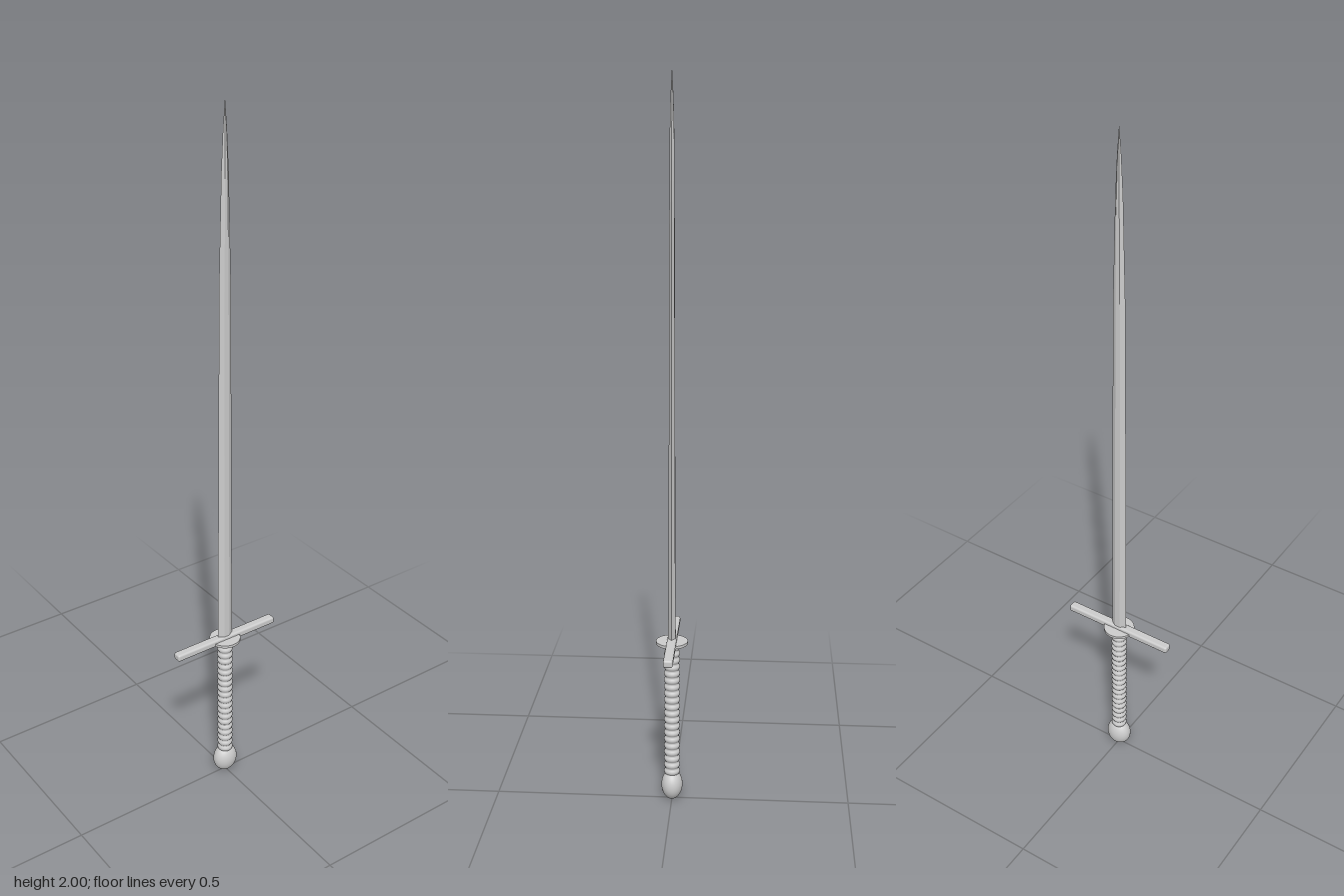
import * as THREE from 'three';
import { RoundedBoxGeometry } from 'three/addons/geometries/RoundedBoxGeometry.js';

const grey = new THREE.MeshStandardMaterial({ color: 0xcccccc });
const flatGrey = new THREE.MeshStandardMaterial({ color: 0xcccccc, flatShading: true });

function addPart(group, name, geometry, y = 0, material = grey) {
  const mesh = new THREE.Mesh(geometry, material);
  mesh.name = name;
  mesh.position.y = y;
  group.add(mesh);
  return mesh;
}

// Blade: six-sided cross-sections [height, half width, half thickness] lofted up to a point
function bladeGeometry() {
  const sections = [
    [0.47, 0.024, 0.010], [0.75, 0.023, 0.009], [1.08, 0.021, 0.008],
    [1.55, 0.018, 0.007], [1.83, 0.011, 0.006], [1.93, 0.006, 0.004], [2.0, 0.0005, 0.0005],
  ];
  const outline = [[1, 0], [0.35, 1], [-0.35, 1], [-1, 0], [-0.35, -1], [0.35, -1]];
  const n = outline.length;
  const positions = [];
  const index = [];
  for (const [y, w, t] of sections) {
    for (const [x, z] of outline) positions.push(x * w, y, z * t);
  }
  for (let s = 0; s < sections.length - 1; s++) {
    for (let i = 0; i < n; i++) {
      const a = s * n + i;
      const b = s * n + (i + 1) % n;
      index.push(a, a + n, b, b, a + n, b + n);
    }
  }
  // End caps
  const top = (sections.length - 1) * n;
  for (let i = 1; i < n - 1; i++) {
    index.push(0, i, i + 1);
    index.push(top, top + i + 1, top + i);
  }
  const geometry = new THREE.BufferGeometry();
  geometry.setAttribute('position', new THREE.Float32BufferAttribute(positions, 3));
  geometry.setIndex(index);
  geometry.computeVertexNormals();
  return geometry;
}

// Grip: a turned profile with a bulge for every turn of the wrap
function gripGeometry(bottom, top, turns) {
  const steps = 6;
  const profile = [new THREE.Vector2(0, bottom)];
  for (let i = 0; i <= turns * steps; i++) {
    const bulge = Math.abs(Math.sin((i / steps) * Math.PI));
    const y = bottom + ((top - bottom) * i) / (turns * steps);
    profile.push(new THREE.Vector2(0.0175 + 0.005 * bulge, y));
  }
  profile.push(new THREE.Vector2(0, top));
  return new THREE.LatheGeometry(profile, 24);
}

export function createModel() {
  const sword = new THREE.Group();
  sword.name = 'sword';

  addPart(sword, 'blade', bladeGeometry(), 0, flatGrey);

  // Straight crossguard with a thin round plate at its middle
  addPart(sword, 'crossguard', new RoundedBoxGeometry(0.334, 0.021, 0.026, 3, 0.006), 0.478);
  addPart(sword, 'guardPlate', new THREE.CylinderGeometry(0.044, 0.044, 0.008, 40), 0.475);

  addPart(sword, 'grip', gripGeometry(0.075, 0.472, 20));

  // Egg-shaped pommel, narrower from front to back
  const pommel = addPart(sword, 'pommel', new THREE.SphereGeometry(1, 32, 20), 0.043);
  pommel.scale.set(0.037, 0.043, 0.03);

  return sword;
}
